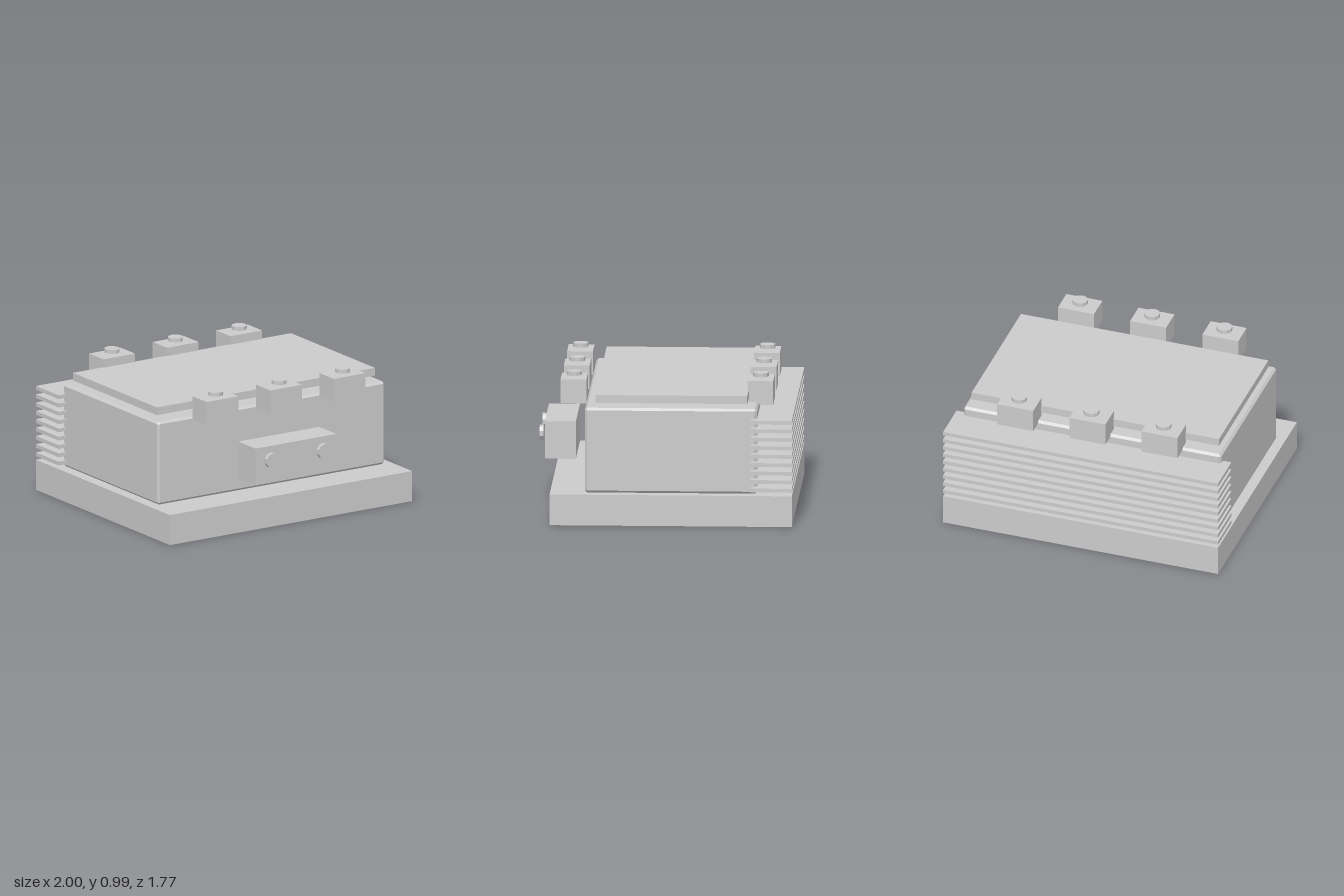
import * as THREE from 'three';
import { ConvexGeometry } from 'three/addons/geometries/ConvexGeometry.js';

export function createModel() {
  const model = new THREE.Group();
  model.name = 'batteryBox';
  const grey = new THREE.MeshStandardMaterial({ color: 0xcccccc });
  grey.name = 'lightGrey';

  const add = (name, geometry, x, y, z) => {
    const mesh = new THREE.Mesh(geometry, grey);
    mesh.name = name;
    mesh.position.set(x, y, z);
    model.add(mesh);
    return mesh;
  };

  // Box given by its centre x, width and its y and z ranges
  const box = (name, x, w, y0, y1, z0, z1) =>
    add(name, new THREE.BoxGeometry(w, y1 - y0, z1 - z0), x, (y0 + y1) / 2, (z0 + z1) / 2);

  // Box with every edge cut by a single flat chamfer
  const chamferedBox = (w, h, d, c) => {
    const points = [];
    for (const sx of [-1, 1]) for (const sy of [-1, 1]) for (const sz of [-1, 1]) {
      for (let axis = 0; axis < 3; axis++) {
        const p = [w / 2, h / 2, d / 2].map((v, i) => (i === axis ? v : v - c));
        points.push(new THREE.Vector3(p[0] * sx, p[1] * sy, p[2] * sz));
      }
    }
    return new ConvexGeometry(points);
  };

  const boltGeometry = new THREE.CylinderGeometry(0.054, 0.054, 0.027, 10).toNonIndexed();
  boltGeometry.computeVertexNormals();

  // Base slab, main housing and raised lid
  box('base', 0, 2, 0, 0.215, -0.884, 0.785);
  add('housing', chamferedBox(1.875, 0.593, 1.186, 0.016), 0, 0.5135, -0.049);
  box('lid', 0, 1.8, 0.84, 0.895, -0.573, 0.473);

  // Cooling fins at the back
  for (let i = 0; i < 9; i++) {
    const y = 0.254 + i * 0.0594;
    box('coolingFin', 0, 2, y - 0.0135, y + 0.0135, -0.884, -0.6);
  }

  // Terminal blocks with bolts along the front and back top edges
  for (const x of [-0.525, 0, 0.525]) {
    for (const z of [0.635, -0.652]) {
      box('terminalBlock', x, 0.262, 0.79, 0.955, z - 0.089, z + 0.089);
      add('terminalBolt', boltGeometry, x, 0.98, z);
    }
  }

  // Front connector with two bolts
  box('frontConnector', 0, 0.668, 0.34, 0.6, 0.632, 0.846);
  for (const x of [-0.214, 0.214]) {
    add('connectorBolt', boltGeometry, x, 0.503, 0.871).rotation.x = Math.PI / 2;
  }

  return model;
}
